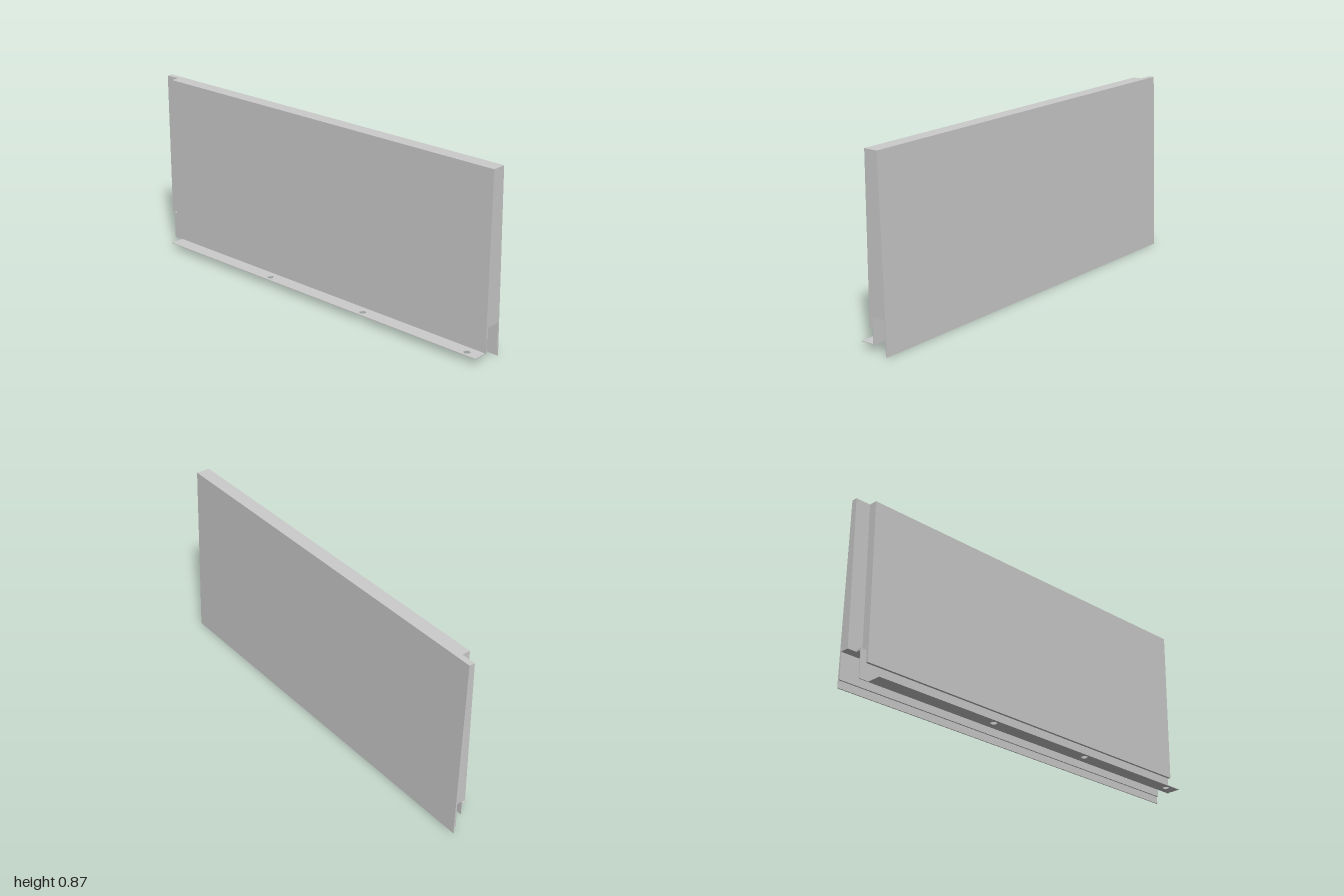
import * as THREE from 'three';

const material = new THREE.MeshStandardMaterial({ color: 0xcccccc });

// Shape from corner points
const outline = (points) => new THREE.Shape(points.map(([x, y]) => new THREE.Vector2(x, y)));

// Cross-section in x/y, extruded along z from z0 to z1
function rail(name, points, z0, z1) {
  const geometry = new THREE.ExtrudeGeometry(outline(points), { depth: z1 - z0, bevelEnabled: false });
  geometry.translate(0, 0, z0);
  const mesh = new THREE.Mesh(geometry, material);
  mesh.name = name;
  return mesh;
}

export function createModel() {
  const group = new THREE.Group();
  group.name = 'drawerSide';

  const top = 0.873;
  const channelTop = 0.16;

  // Sloping outer panel with its thin lip at the foot
  group.add(rail('outerPanel', [
    [0.02, channelTop], [0.063, channelTop], [0.063, 0.035], [0.07, 0.035],
    [0.07, 0], [0.075, 0], [0.048, top], [0.02, top],
  ], -1, 1));

  // Upright inner panel, stopping short at the back
  group.add(rail('innerPanel', [
    [-0.02, 0.111], [-0.008, 0.111], [-0.008, channelTop], [0.02, channelTop],
    [0.02, top], [-0.02, top],
  ], -0.925, 1));

  // Folded sheet lining the runner channel, projecting behind the inner panel
  group.add(rail('channelLiner', [
    [-0.008, 0.033], [-0.004, 0.033], [-0.004, channelTop], [0.02, channelTop],
    [0.02, 0.17], [-0.008, 0.17],
  ], -0.955, 0.995));

  // Bottom flange with three screw holes
  const plate = outline([[-0.077, -0.99], [-0.006, -0.99], [-0.006, 0.907], [-0.077, 0.907]]);
  for (const z of [-0.24, 0.34, 0.925]) {
    plate.holes.push(new THREE.Path().absarc(-0.05, -z, 0.015, 0, Math.PI * 2, true));
  }
  const flangeGeometry = new THREE.ExtrudeGeometry(plate, { depth: 0.003, bevelEnabled: false, curveSegments: 16 });
  flangeGeometry.rotateX(-Math.PI / 2).translate(0, 0.033, 0);
  const flange = new THREE.Mesh(flangeGeometry, material);
  flange.name = 'screwFlange';
  group.add(flange);

  return group;
}
